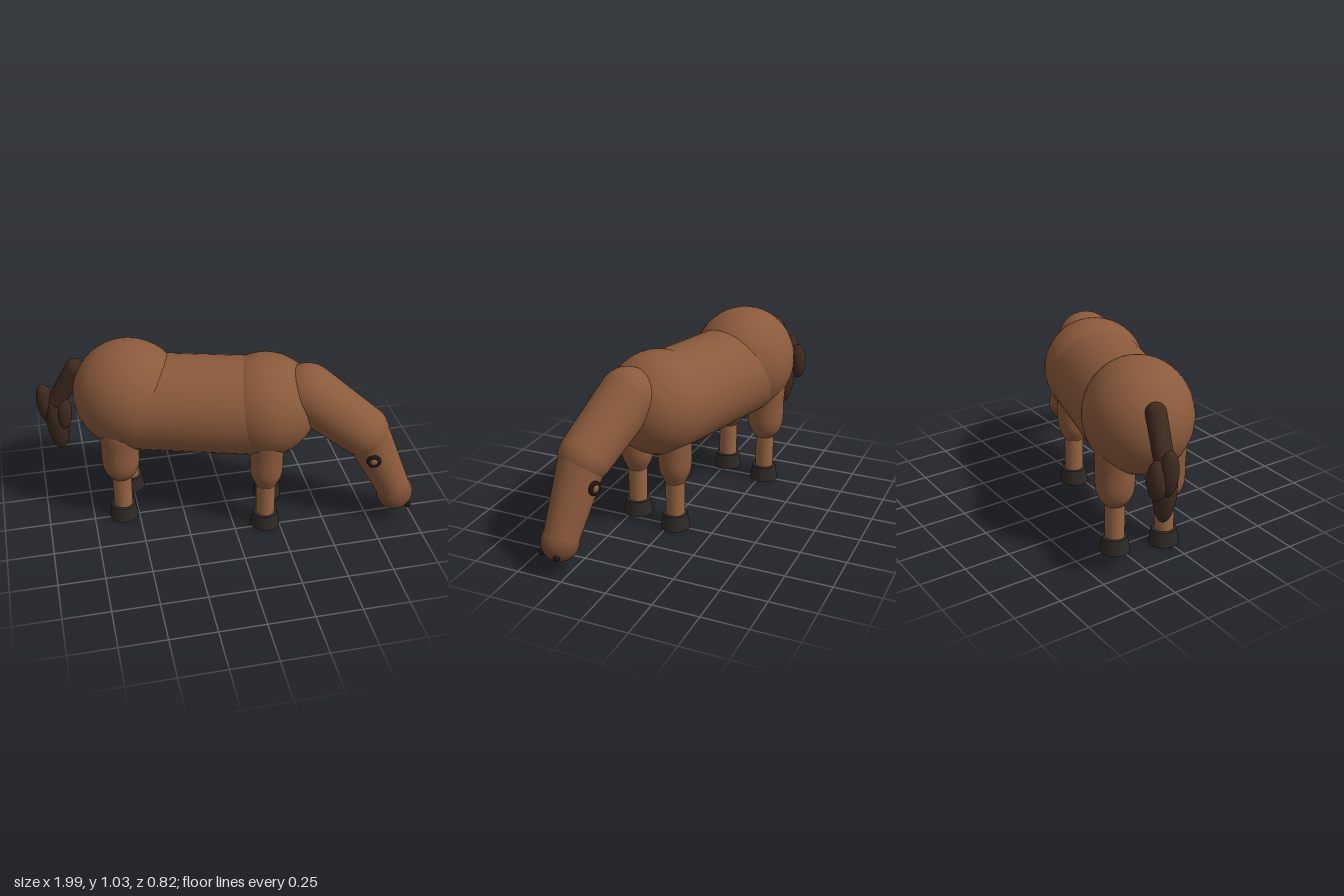
import * as THREE from 'three';

const mat = (color) => new THREE.MeshStandardMaterial({ color, roughness: 0.9 });
const YAW = -0.278; // the body is turned a little towards +z
const lateral = new THREE.Vector3(-0.274, 0, 0.962); // sideways direction of the body

export function createModel() {
  const horse = new THREE.Group();
  horse.name = 'horse';
  const coat = mat(0x8b5a3c), shin = mat(0x966541), muzzleMat = mat(0x7a4c34);
  const hair = mat(0x3d2a1f), hoofMat = mat(0x2e2926), dark = mat(0x1f1612);

  const add = (name, geometry, material, pos = [0, 0, 0]) => {
    const mesh = new THREE.Mesh(geometry, material);
    mesh.name = name;
    mesh.position.set(...pos);
    horse.add(mesh);
    return mesh;
  };

  const ball = (name, pos, radii, material, rot = [0, 0, 0]) => {
    const mesh = add(name, new THREE.SphereGeometry(1, 40, 28), material, pos);
    mesh.scale.set(...radii);
    mesh.rotation.set(...rot);
    return mesh;
  };

  // Tapered limb with rounded ends running from a to b
  const limb = (name, a, b, ra, rb, material) => {
    const start = new THREE.Vector3(...a);
    const dir = new THREE.Vector3(...b).sub(start);
    const length = dir.length();
    const points = [];
    const tilt = Math.asin((ra - rb) / length);
    for (let i = 0; i <= 12; i++) {
      const t = -Math.PI / 2 + (i / 12) * (Math.PI / 2 + tilt);
      points.push(new THREE.Vector2(Math.max(0, ra * Math.cos(t)), ra * Math.sin(t)));
    }
    for (let i = 0; i <= 12; i++) {
      const t = tilt + (i / 12) * (Math.PI / 2 - tilt);
      points.push(new THREE.Vector2(Math.max(0, rb * Math.cos(t)), length + rb * Math.sin(t)));
    }
    const mesh = add(name, new THREE.LatheGeometry(points, 40), material, a);
    mesh.quaternion.setFromUnitVectors(new THREE.Vector3(0, 1, 0), dir.normalize());
    return mesh;
  };

  // Body
  ball('rump', [-0.505, 0.73, -0.13], [0.3, 0.3, 0.282], coat, [0, YAW, 0]);
  limb('barrel', [-0.45, 0.682, -0.109], [0.17, 0.682, 0.069], 0.264, 0.268, coat);
  ball('chest', [0.2, 0.695, 0.078], [0.28, 0.28, 0.28], coat, [0, YAW, 0]);

  // Neck and head
  limb('neck', [0.41, 0.79, 0.155], [0.7, 0.565, 0.25], 0.155, 0.14, coat);
  limb('head', [0.715, 0.56, 0.255], [0.89, 0.185, 0.3], 0.125, 0.092, coat);
  ball('muzzle', [0.895, 0.163, 0.305], [0.1, 0.102, 0.098], muzzleMat);

  // Eyes: a dark rim around a coat-coloured ball
  for (const [side, x, z] of [[1, 0.728, 0.379], [-1, 0.797, 0.151]]) {
    const rim = add('eyeRim', new THREE.TorusGeometry(0.027, 0.012, 12, 28), dark, [x, 0.447, z]);
    rim.lookAt(rim.position.clone().addScaledVector(lateral, side));
    ball('eye', [x, 0.447, z], [0.024, 0.024, 0.02], coat, [0, YAW, 0]);
  }
  for (const [x, z] of [[0.95, 0.382], [0.978, 0.28]])
    ball('nostril', [x, 0.119, z], [0.017, 0.019, 0.017], dark);

  // Legs: each pair is spread sideways from its centre
  const leg = (name, center, side, r) => {
    const p = new THREE.Vector3(...center).addScaledVector(lateral, 0.135 * side);
    const at = [p.x, 0, p.z];
    const profile = [[0.04, 0.26], [0.055, 0.275], [r * 0.78, 0.305], [r * 0.93, 0.34],
      [r, 0.39], [r, 0.48], [r * 1.03, 0.58], [r * 0.8, 0.68], [0, 0.72]];
    const curve = new THREE.SplineCurve(profile.map(([x, y]) => new THREE.Vector2(x, y)));
    const points = curve.getPoints(36);
    points.forEach((q) => { q.x = Math.max(0, q.x); });
    add(name + 'UpperLeg', new THREE.LatheGeometry(points, 36), coat, at);
    add(name + 'LowerLeg', new THREE.CylinderGeometry(0.053, 0.051, 0.26, 32), shin, [p.x, 0.2, p.z]);
    add(name + 'Hoof', new THREE.CylinderGeometry(0.067, 0.08, 0.083, 32), hoofMat, [p.x, 0.0415, p.z]);
  };
  for (const side of [1, -1]) {
    leg('hind', [-0.547, 0, -0.14], side, 0.103);
    leg('front', [0.213, 0, 0.095], side, 0.09);
  }

  // Tail: a short dock ending in hanging tufts
  limb('tailDock', [-0.775, 0.865, -0.222], [-0.885, 0.66, -0.25], 0.052, 0.05, hair);
  ball('tailTuft', [-0.895, 0.52, -0.25], [0.06, 0.18, 0.06], hair, [0, 0, 0.06]);
  ball('tailTuft', [-0.945, 0.63, -0.27], [0.05, 0.125, 0.05], hair, [0, 0, 0.12]);
  ball('tailTuft', [-0.925, 0.6, -0.32], [0.05, 0.105, 0.05], hair);
  ball('tailTuft', [-0.855, 0.585, -0.22], [0.042, 0.1, 0.045], hair, [0, 0, -0.1]);

  return horse;
}
